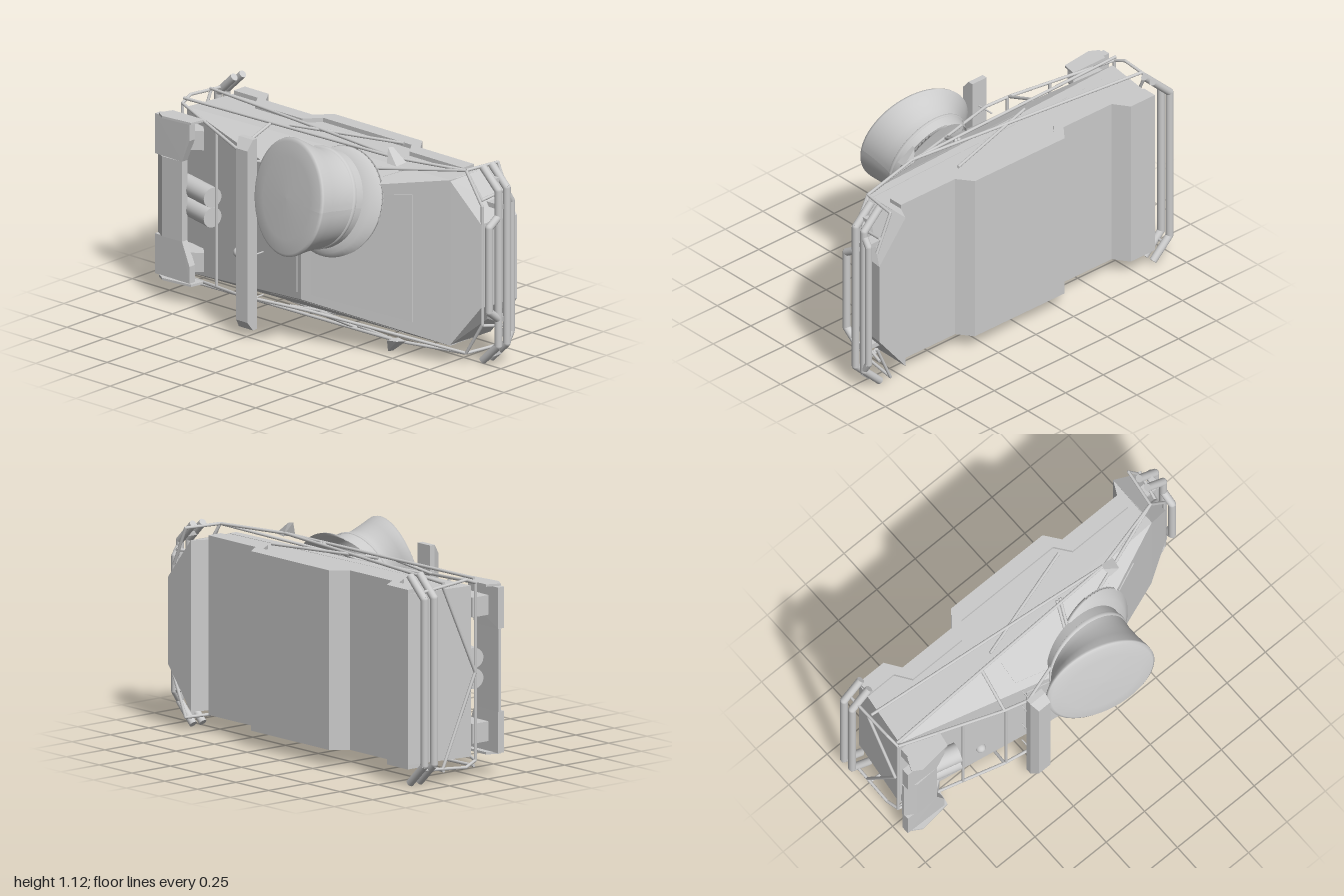
import * as THREE from 'three';
import { ConvexGeometry } from 'three/addons/geometries/ConvexGeometry.js';

const V = (p) => new THREE.Vector3(...p);
const flat = new THREE.MeshStandardMaterial({ color: 0xcccccc, flatShading: true, side: THREE.DoubleSide });
const smooth = new THREE.MeshStandardMaterial({ color: 0xcccccc, side: THREE.DoubleSide });

function add(parent, name, geometry, material = flat) {
  const mesh = new THREE.Mesh(geometry, material);
  mesh.name = name;
  parent.add(mesh);
  return mesh;
}
const hull = (parent, name, pts) => add(parent, name, new ConvexGeometry(pts.map(V)));
// each [x, w, z] becomes a pair at +w and -w
const pairs = (pts) => pts.flatMap(([x, w, z]) => [[x, w, z], [x, -w, z]]);

// straight tube segments with rounded joints
function pipe(parent, name, pts, r = 0.008, sides = 10) {
  const g = new THREE.Group();
  g.name = name;
  parent.add(g);
  const p = pts.map(V);
  for (let i = 0; i < p.length - 1; i++) {
    const d = p[i + 1].clone().sub(p[i]);
    const m = add(g, 'tube', new THREE.CylinderGeometry(r, r, d.length(), sides), smooth);
    m.position.copy(p[i]).addScaledVector(d, 0.5);
    m.quaternion.setFromUnitVectors(V([0, 1, 0]), d.normalize());
    if (i) add(g, 'joint', new THREE.SphereGeometry(r, sides, 6), smooth).position.copy(p[i]);
  }
}
// side outline (x, z) extruded across the width between w0 and w1
function across(parent, name, outline, w0, w1) {
  const shape = new THREE.Shape(outline.map(([x, z]) => new THREE.Vector2(x, z)));
  const g = new THREE.ExtrudeGeometry(shape, { depth: w1 - w0, bevelEnabled: false });
  g.rotateX(Math.PI / 2);
  g.translate(0, w1, 0);
  return add(parent, name, g);
}
// surface through rows of points
function skin(rows) {
  const pos = rows.flat(2), idx = [], n = rows[0].length;
  for (let j = 0; j < rows.length - 1; j++)
    for (let i = 0; i < n - 1; i++) {
      const a = j * n + i, b = a + n;
      idx.push(a, a + 1, b, a + 1, b + 1, b);
    }
  const g = new THREE.BufferGeometry();
  g.setAttribute('position', new THREE.Float32BufferAttribute(pos, 3));
  g.setIndex(idx);
  g.computeVertexNormals();
  return g;
}

function buildBody(car) {
  // lower body with wheel arches
  const under = [[-0.87, -0.41], [-0.71, -0.41], [-0.655, -0.33], [-0.335, -0.33], [-0.27, -0.41],
    [0.325, -0.41], [0.385, -0.33], [0.745, -0.33], [0.785, -0.41]];
  across(car, 'lowerBody', [...under, [0.785, -0.115], [-0.92, -0.04]], -0.433, 0.433);
  // raised sill and arch trim
  const trim = [...under.slice(0, 8), ...under.slice(0, 8).reverse().map(([x, z]) => [x, z + 0.08])];
  across(car, 'archTrimLeft', trim, 0.43, 0.455);
  across(car, 'archTrimRight', trim, -0.455, -0.43);
  // wedge cabin and chamfered nose
  hull(car, 'cabin', pairs([[0.05, 0.29, 0.18], [-0.92, 0.433, -0.04], [0.785, 0.435, -0.115],
    [-0.9, 0.433, -0.1], [0.785, 0.435, -0.16]]));
  hull(car, 'nose', pairs([[0.78, 0.435, -0.113], [0.93, 0.22, -0.18], [0.785, 0.435, -0.41], [0.96, 0.22, -0.41]]));

  // thin window panels following the cabin facets
  const front = (x) => 0.18 - (x - 0.05) * 0.4, rear = (x) => 0.18 - (0.05 - x) * 0.2268;
  const panel = (name, x0, w0, x1, w1, f) =>
    hull(car, name, pairs([0.005, -0.01].flatMap((d) => [[x0, w0, f(x0) + d], [x1, w1, f(x1) + d]])));
  panel('windshield', 0.1, 0.26, 0.6, 0.335, front);
  panel('rearWindow', -0.23, 0.27, 0.02, 0.26, rear);
  for (const s of [1, -1]) {
    const w = (x, z) => {
      const belt = -0.04 - 0.044 * (x + 0.92);
      return 0.433 - 0.144 * (z - belt) / 0.26;
    };
    const corners = [[-0.26, -0.05], [-0.26, 0.07], [0.03, 0.135], [0.42, -0.02], [0.5, -0.085]];
    hull(car, 'sideWindow', [0.004, -0.008].flatMap((d) => corners.map(([x, z]) => [x, s * (w(x, z) + d), z])));
  }
}

function buildCage(car) {
  for (const s of [1, -1]) {
    const rail = (name, ...pts) => pipe(car, name, pts.map(([x, w, z]) => [x, s * w, z]));
    rail('roofRail', [-0.94, 0.45, -0.03], [-0.4, 0.38, 0.15], [-0.27, 0.36, 0.18], [0.03, 0.38, 0.09], [0.83, 0.48, -0.18]);
    rail('beltRail', [-0.94, 0.475, -0.04], [0.45, 0.48, -0.085], [0.83, 0.48, -0.18]);
    rail('sideBrace', [-0.94, 0.475, -0.235], [0.05, 0.48, -0.13], [0.45, 0.48, -0.085]);
    rail('sideBrace', [-0.28, 0.475, -0.1], [0.32, 0.475, -0.28]);
    rail('strut', [-0.4, 0.38, 0.15], [-0.37, 0.475, -0.06]);
    rail('strut', [0.08, 0.385, 0.07], [0.15, 0.48, -0.095]);
    rail('strut', [0.1, 0.39, 0.06], [0.17, 0.48, -0.095]);
    rail('rearPost', [-0.94, 0.45, -0.03], [-0.95, 0.475, -0.1], [-0.95, 0.45, -0.39]);
    rail('tailBrace', [-0.95, 0.46, -0.25], [-0.95, 0, -0.04]);
    rail('frontStrut', [0.83, 0.48, -0.18], [0.9, 0.33, -0.22], [0.93, 0.36, -0.38]);
    rail('frontPost', [0.83, 0.48, -0.18], [0.86, 0.48, -0.38], [0.95, 0.28, -0.38]);
    // door mirror
    hull(car, 'mirror', [[0.42, 0.535, -0.055], [0.43, 0.535, -0.08], [0.44, 0.465, -0.025], [0.45, 0.465, -0.095],
      [0.5, 0.46, -0.03], [0.51, 0.47, -0.09]].map(([x, w, z]) => [x, s * w, z]));
  }
  pipe(car, 'rearCrossbar', [[-0.61, -0.41, 0.08], [-0.61, 0.41, 0.08]]);
  pipe(car, 'roofCrossbar', [[-0.39, -0.38, 0.15], [-0.39, 0.38, 0.15]]);
  pipe(car, 'tailCrossbar', [[-0.94, -0.45, -0.03], [-0.94, 0.45, -0.03]]);
  pipe(car, 'frontHoop', [[0.83, -0.48, -0.18], [0.93, -0.31, -0.19], [0.93, 0.31, -0.19], [0.83, 0.48, -0.18]]);
}

function buildBumpers(car) {
  // bar with both ends swept back; w lists end, bend, bend, end
  const bar = (name, z, xEnd, xMid, w) => pipe(car, name, [[xEnd, w[0], z], [xMid, w[1], z],
    [xMid, w[2], z], [xEnd, w[3], z]], 0.02, 14);
  for (const z of [-0.255, -0.317]) bar('frontBumperBar', z, 0.875, 0.978, [-0.525, -0.425, 0.39, 0.49]);
  for (const z of [-0.333, -0.395]) bar('rearBumperBar', z, -0.87, -0.98, [-0.525, -0.42, 0.42, 0.525]);
  pipe(car, 'upperGuard', [[0.978, -0.28, -0.25], [0.978, -0.23, -0.187], [0.978, 0.21, -0.187], [0.978, 0.25, -0.25]], 0.02, 14);
  pipe(car, 'lowerGuard', [[0.978, -0.42, -0.317], [0.978, -0.37, -0.35], [0.978, 0.315, -0.35], [0.978, 0.365, -0.317]], 0.018, 14);
  for (const w of [-0.48, 0.43])
    add(car, 'bumperBracket', new THREE.BoxGeometry(0.03, 0.02, 0.06)).position.set(0.93, w, -0.285);
  for (const s of [1, -1])
    add(car, 'bumperMount', new THREE.BoxGeometry(0.1, 0.025, 0.06)).position.set(0.925, s * 0.295, -0.3);
}

function buildRearGear(car) {
  // spoiler: notched wing, end plates and stands
  for (const s of [1, -1]) {
    hull(car, 'wingTip', [0.075, 0.115].flatMap((z) => [[-0.995, 0.42, z - 0.005], [-0.995, 0.21, z - 0.005],
      [-0.81, 0.21, z], [-0.76, 0.33, z], [-0.76, 0.42, z]].map(([x, w, h]) => [x, s * w, h])));
    across(car, 'endPlate', [[-0.97, 0.11], [-0.94, 0.04], [-0.73, 0.04], [-0.745, 0.12], [-0.92, 0.14]],
      s * 0.425 - 0.006, s * 0.425 + 0.006);
    across(car, 'wingStand', [[-0.92, -0.03], [-0.8, -0.03], [-0.73, 0.04], [-0.8, 0.09], [-0.92, 0.08]],
      s * 0.32 - 0.05, s * 0.32 + 0.05);
    // twin exhausts
    pipe(car, 'exhaust', [[-0.88, s * 0.052, 0.012], [-0.64, s * 0.052, 0.076]], 0.052, 28);
  }
  hull(car, 'wingCentre', pairs([[-1, 0.21, 0.07], [-1, 0.21, 0.085], [-0.81, 0.21, 0.075], [-0.81, 0.21, 0.115], [-0.94, 0.21, 0.12]]));
  // small knob on the rear deck
  pipe(car, 'knobStem', [[-0.48, -0.2, 0.03], [-0.48, -0.2, 0.06]], 0.018, 20);
  add(car, 'knob', new THREE.SphereGeometry(0.026, 20, 12), smooth).position.set(-0.48, -0.2, 0.062);
}

function buildLightBar(car) {
  hull(car, 'lightBar', pairs([[-0.31, 0.5, 0.213], [-0.215, 0.5, 0.213], [-0.31, 0.5, 0.243],
    [-0.215, 0.5, 0.243], [-0.29, 0.45, 0.284], [-0.215, 0.45, 0.284]]));
  for (const w of [-0.355, -0.13, 0.13, 0.355]) pipe(car, 'lightBarPost', [[-0.26, w, 0.12], [-0.26, w, 0.22]], 0.004);
}

function buildCap(root) {
  const cap = new THREE.Group();
  cap.name = 'peakedCap';
  root.add(cap);
  // ring of radius r about (x, y) on a plane tilted by slopes sx, sy
  const at = (a, [x, y, z, r, sx, sy]) => {
    const c = r * Math.cos(a), s = r * Math.sin(a);
    return [x + c, y + s, z + sx * c + sy * s];
  };
  const ring = (p) => Array.from({ length: 65 }, (_, i) => at(i / 32 * Math.PI, p));
  const loft = (name, list) => add(cap, name, skin(list.map(ring)), smooth);
  loft('band', [[0.15, 0.79, 0.107, 0.238, -0.05, -0.33], [0.14, 0.805, 0.152, 0.243, -0.01, -0.28]]);
  loft('bandPiping', [[0.14, 0.805, 0.148, 0.243, -0.01, -0.28], [0.14, 0.805, 0.152, 0.249, -0.01, -0.28],
    [0.138, 0.805, 0.162, 0.249, 0, -0.27], [0.138, 0.805, 0.167, 0.243, 0, -0.27]]);
  loft('crown', [[0.138, 0.805, 0.167, 0.243, 0, -0.27], [0.125, 0.81, 0.205, 0.249, 0.07, -0.25],
    [0.105, 0.825, 0.258, 0.268, 0.17, -0.24], [0.09, 0.835, 0.3, 0.286, 0.24, -0.23],
    [0.09, 0.835, 0.312, 0.285, 0.24, -0.23], [0.09, 0.835, 0.321, 0.27, 0.24, -0.23],
    [0.09, 0.835, 0.328, 0.2, 0.24, -0.23], [0.09, 0.835, 0.332, 0.001, 0.24, -0.23]]);
  // crescent visor, thick and drooping towards its tip
  const visor = [[0, 0.01], [0.5, 0.006], [1, 0], [1, -0.014], [0.5, -0.008], [0, -0.004]].map(([t, h]) =>
    Array.from({ length: 41 }, (_, i) => {
      const a = (i / 20 - 1) * 1.8, k = Math.max(0, Math.cos(a * 0.87));
      return at(a - 0.1, [0.15, 0.79, 0.11 + h - 0.035 * k * t * t, 0.236 + t * (0.008 + 0.076 * k), -0.06, -0.33]);
    }));
  add(cap, 'visor', skin(visor), smooth);
}

export function createModel() {
  const root = new THREE.Group();
  root.name = 'armouredTruckWithCap';
  // vehicle lies on its side: length along x, width along y, roof towards +z
  const car = new THREE.Group();
  car.name = 'vehicle';
  car.position.y = 0.545;
  root.add(car);
  buildBody(car);
  buildCage(car);
  buildBumpers(car);
  buildRearGear(car);
  buildLightBar(car);
  buildCap(root);
  return root;
}
